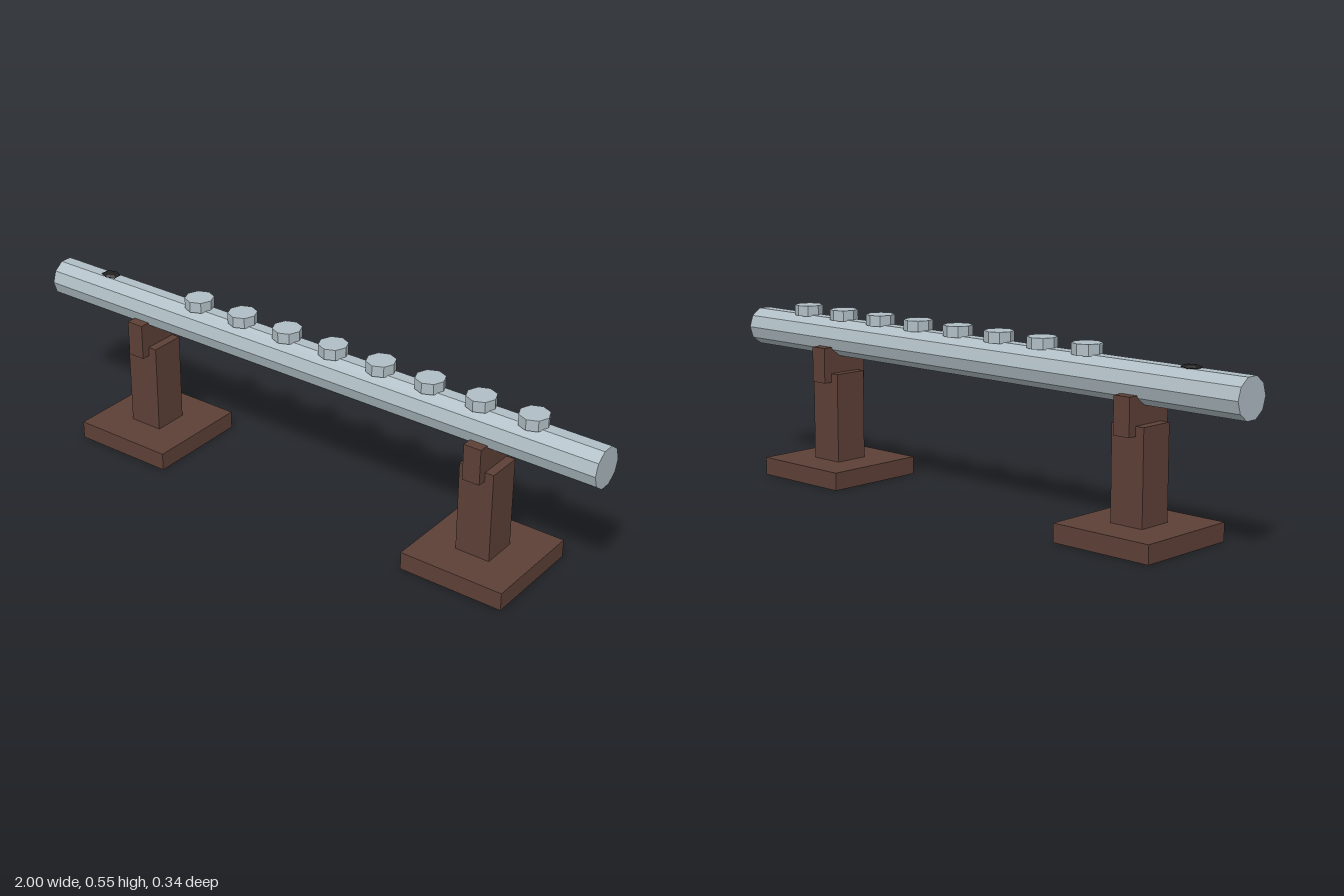
import * as THREE from 'three';

const mat = (color) => new THREE.MeshStandardMaterial({ color, flatShading: true });

export function createModel() {
  const model = new THREE.Group();
  const metal = mat(0xb0bec5), wood = mat(0x5d4037), dark = mat(0x212121);

  const add = (parent, name, geometry, material, x, y, z = 0) => {
    const mesh = new THREE.Mesh(geometry, material);
    mesh.name = name;
    mesh.position.set(x, y, z);
    parent.add(mesh);
    return mesh;
  };

  // Ten-sided tube lying along x, flat side up
  const tubeGeometry = new THREE.CylinderGeometry(0.0625, 0.0625, 2, 10).rotateZ(Math.PI / 2);
  add(model, 'tube', tubeGeometry, metal, 0, 0.459);

  // Blow hole: flattened low-poly dome set into the top of the tube
  const holeGeometry = new THREE.SphereGeometry(1, 6, 4)
    .rotateY(Math.PI / 6)
    .scale(0.034, 0.007, 0.026);
  add(model, 'blowHole', holeGeometry, dark, -0.8, 0.521);

  // Row of eight round keys
  const keys = new THREE.Group();
  keys.name = 'keys';
  const keyGeometry = new THREE.CylinderGeometry(0.0457, 0.0457, 0.034, 8);
  for (let i = 0; i < 8; i++) {
    add(keys, `key${i + 1}`, keyGeometry, metal, -0.43 + i * 0.1713, 0.532);
  }
  model.add(keys);

  // Two matching wooden stands
  for (const [name, side] of [['rightStand', -1], ['leftStand', 1]]) {
    const stand = new THREE.Group();
    stand.name = name;
    stand.position.x = side * 0.628;
    add(stand, 'base', new THREE.BoxGeometry(0.342, 0.057, 0.342), wood, 0, 0.0285);
    add(stand, 'post', new THREE.BoxGeometry(0.114, 0.288, 0.114), wood, 0, 0.201);
    add(stand, 'cradle', new THREE.BoxGeometry(0.057, 0.114, 0.171), wood, 0, 0.373);
    model.add(stand);
  }

  return model;
}
